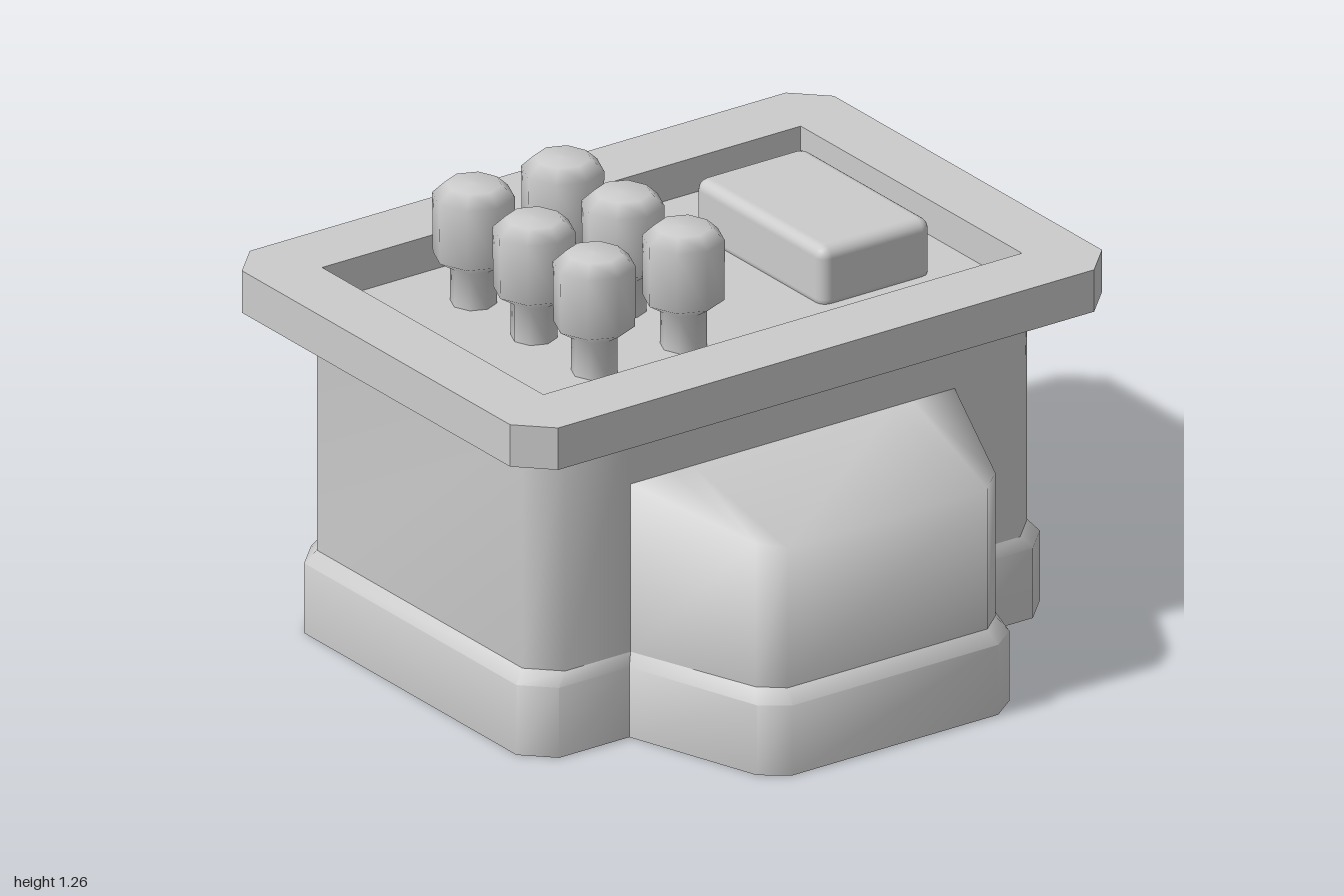
import * as THREE from 'three';
import { toCreasedNormals } from 'three/addons/utils/BufferGeometryUtils.js';
import { RoundedBoxGeometry } from 'three/addons/geometries/RoundedBoxGeometry.js';

const material = new THREE.MeshStandardMaterial({ color: 0xcccccc, side: THREE.DoubleSide });

function add(parent, name, geometry, x = 0, y = 0, z = 0) {
  const mesh = new THREE.Mesh(geometry, material);
  mesh.name = name;
  mesh.position.set(x, y, z);
  parent.add(mesh);
  return mesh;
}

// Skin between rings of [x, y, z] points, listed from bottom to top
function skin(rings, crease) {
  const positions = [];
  const triangle = (...points) => {
    const [a, b, c] = points.map((p) => new THREE.Vector3(...p));
    if (new THREE.Triangle(a, b, c).getArea() > 1e-7) positions.push(...points.flat());
  };
  for (let i = 0; i + 1 < rings.length; i++) {
    for (let j = 0; j + 1 < rings[i].length; j++) {
      const a = rings[i][j], b = rings[i][j + 1];
      const c = rings[i + 1][j], d = rings[i + 1][j + 1];
      triangle(a, c, b);
      triangle(b, c, d);
    }
  }
  const geometry = new THREE.BufferGeometry();
  geometry.setAttribute('position', new THREE.Float32BufferAttribute(positions, 3));
  geometry.computeVertexNormals();
  return toCreasedNormals(geometry, crease);
}

const atHeight = (path, y) => path.map(([x, z]) => [x, y, z]);

// Plan of one end of the body, between the two side bulges
function endPath(x, z, join) {
  const c = 0.08;
  return [[x, join], [x, z - c], [x - c, z], [c - x, z], [-x, z - c], [-x, join]];
}

// Plan of one side bulge
function bulgePath(root, join, shoulder, zShoulder, outer, zOuter) {
  const half = [[root, join], [shoulder, zShoulder], [outer, zOuter]];
  return [...half.map(([x, z]) => [x, -z]), ...half.slice().reverse()];
}

function chamferedRect(x, z, c) {
  return [[x, c - z], [x, z - c], [x - c, z], [c - x, z], [-x, z - c], [-x, c - z], [c - x, -z], [x - c, -z]]
    .map(([px, pz]) => new THREE.Vector2(px, pz));
}

export function createModel() {
  const model = new THREE.Group();
  model.name = 'controlConsole';

  const endOuter = endPath(0.555, 0.84, 0.535);
  const endInner = endPath(0.54, 0.81, 0.52);
  const bulgeOuter = bulgePath(0.555, 0.535, 0.945, 0.405, 1.0, 0.33);
  const bulgeInner = bulgePath(0.54, 0.52, 0.91, 0.385, 0.965, 0.32);
  const slope = (x) => 0.715 - (x - 0.54) * 0.188;

  // Hollow body, open below: each half is the other turned half way round
  for (const turn of [0, Math.PI]) {
    const half = new THREE.Group();
    half.name = turn ? 'backRightHalf' : 'frontLeftHalf';
    half.rotation.y = turn;
    model.add(half);

    const plinth = (outer, inner) =>
      skin([atHeight(outer, 0), atHeight(outer, 0.2), atHeight(inner, 0.235)], 0.9);
    add(half, 'endPlinth', plinth(endOuter, endInner));
    add(half, 'endWall', skin([atHeight(endInner, 0.235), atHeight(endInner, 0.9)], 0.9));
    add(half, 'bulgePlinth', plinth(bulgeOuter, bulgeInner));

    // Bulge wall and its sloping top
    add(half, 'sideBulge', skin([
      atHeight(bulgeInner, 0.235),
      bulgeInner.map(([x, z]) => [x, slope(x), z]),
      bulgeInner.map(([, z]) => [0.54, 0.715, z]),
    ], 1.55));

    // Strip of wall above the bulge
    const strip = add(half, 'upperSideWall', new THREE.PlaneGeometry(1.04, 0.185), 0.54, 0.8075, 0);
    strip.rotation.y = Math.PI / 2;
  }

  // Top frame with cut corners around the sunken panel
  const frame = new THREE.Shape(chamferedRect(0.69, 0.95, 0.09));
  frame.holes.push(new THREE.Path([[-0.495, -0.768], [-0.495, 0.768], [0.495, 0.768], [0.495, -0.768]]
    .map(([x, z]) => new THREE.Vector2(x, z))));
  const frameGeometry = new THREE.ExtrudeGeometry(frame, { depth: 0.12, bevelEnabled: false });
  frameGeometry.rotateX(-Math.PI / 2);
  add(model, 'topFrame', frameGeometry, 0, 0.9, 0);

  const panel = add(model, 'sunkenPanel', new THREE.PlaneGeometry(0.99, 1.536), 0, 0.92, 0);
  panel.rotation.x = -Math.PI / 2;

  add(model, 'displayBlock', new RoundedBoxGeometry(0.575, 0.18, 0.355, 2, 0.032), 0, 0.99, -0.453);

  // Two rows of eight-sided knobs on stems
  const profile = [[0.062, 0.92], [0.062, 1.025], [0.108, 1.055], [0.11, 1.225], [0.075, 1.258], [0, 1.262]]
    .map(([r, y]) => new THREE.Vector2(r, y));
  const knob = new THREE.LatheGeometry(profile, 8);
  for (const z of [0.157, 0.443]) {
    for (const x of [-0.27, 0, 0.27]) add(model, 'knob', knob, x, 0, z);
  }
  return model;
}
